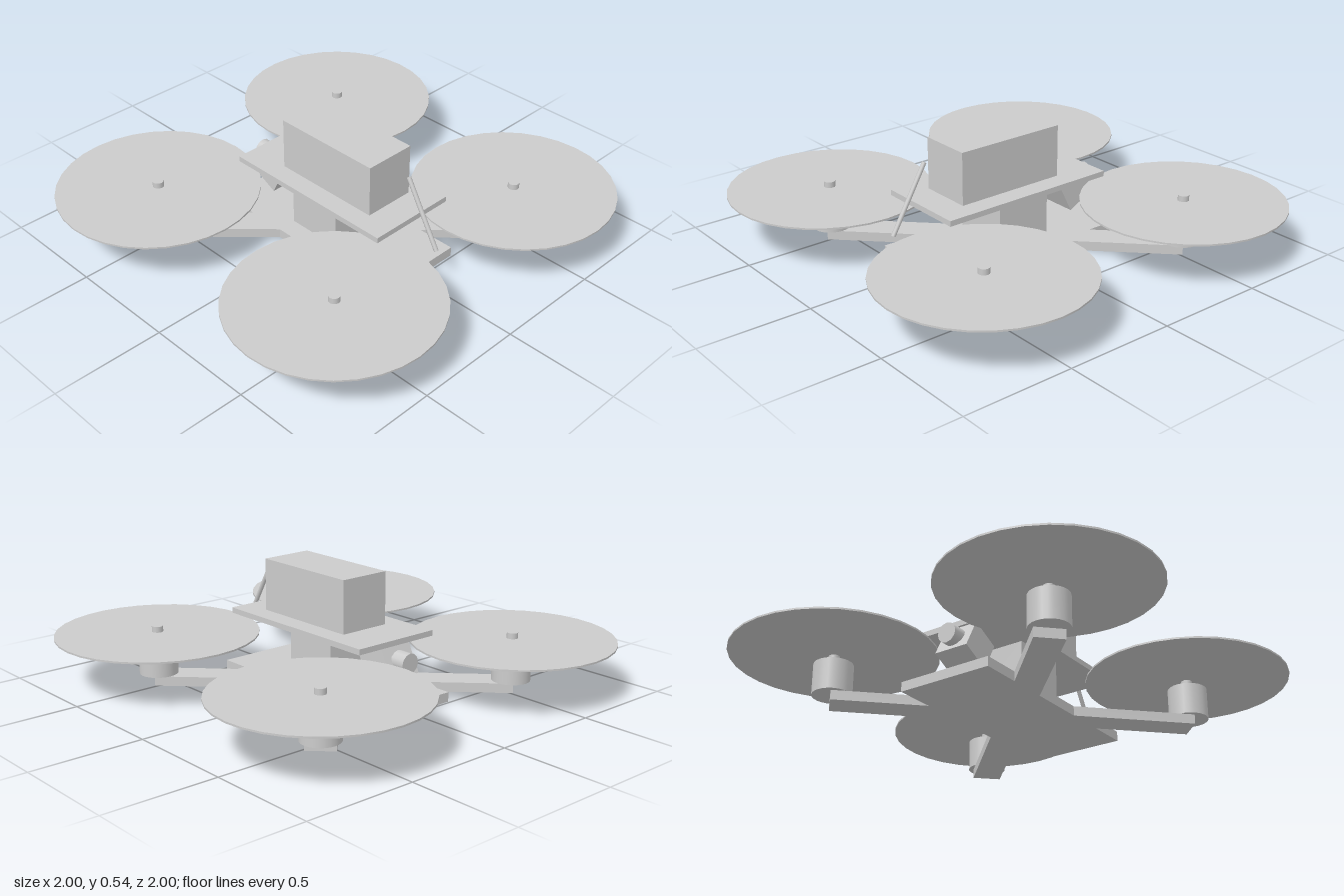
import * as THREE from 'three';

export function createModel() {
  const model = new THREE.Group();
  model.name = 'quadcopter';
  const grey = new THREE.MeshStandardMaterial({ color: 0xcccccc });
  grey.name = 'light grey';

  function add(name, geometry, x, y, z, tilt = 0) {
    const mesh = new THREE.Mesh(geometry, grey);
    mesh.name = name;
    mesh.position.set(x, y, z);
    mesh.rotation.x = tilt;
    model.add(mesh);
    return mesh;
  }

  // Base plate with four diagonal arms, mirrored from one quarter outline
  const quarter = [[0.22, 0.13], [0.6, 0.51], [0.51, 0.6], [0.22, 0.31], [0.22, 0.49]];
  const outline = [];
  for (const [sx, sy] of [[1, 1], [-1, 1], [-1, -1], [1, -1]]) {
    const points = quarter.map(([x, y]) => new THREE.Vector2(x * sx, y * sy));
    if (sx * sy < 0) points.reverse();
    outline.push(...points);
  }
  const frame = new THREE.ExtrudeGeometry(new THREE.Shape(outline), { depth: 0.043, bevelEnabled: false });
  frame.rotateX(-Math.PI / 2);
  add('frame', frame, 0, 0, 0);

  // Motor, shaft and propeller disc at the end of each arm
  const motor = new THREE.CylinderGeometry(0.086, 0.086, 0.14, 24);
  const shaft = new THREE.CylinderGeometry(0.025, 0.025, 0.08, 12);
  const disc = new THREE.CylinderGeometry(0.45, 0.45, 0.008, 32);
  for (const x of [-0.55, 0.55]) {
    for (const z of [-0.55, 0.55]) {
      add('motor', motor, x, 0.113, z);
      add('motorShaft', shaft, x, 0.218, z);
      add('propellerDisc', disc, x, 0.228, z);
    }
  }

  // Electronics stack, top plate and battery
  add('electronicsStack', new THREE.BoxGeometry(0.264, 0.232, 0.264), 0, 0.159, 0);
  add('topPlate', new THREE.BoxGeometry(0.42, 0.025, 0.85), 0, 0.287, 0.028);
  add('battery', new THREE.BoxGeometry(0.24, 0.236, 0.52), 0, 0.417, 0.06);

  // Tilted camera with its lens
  add('camera', new THREE.BoxGeometry(0.16, 0.142, 0.142), 0, 0.182, -0.353, 0.47);
  add('cameraLens', new THREE.CylinderGeometry(0.045, 0.045, 0.07, 12), 0, 0.213, -0.443, Math.PI / 2);

  // Leaning antenna
  add('antenna', new THREE.CylinderGeometry(0.01, 0.01, 0.332, 8), 0, 0.341, 0.508, -Math.PI / 6);

  return model;
}
